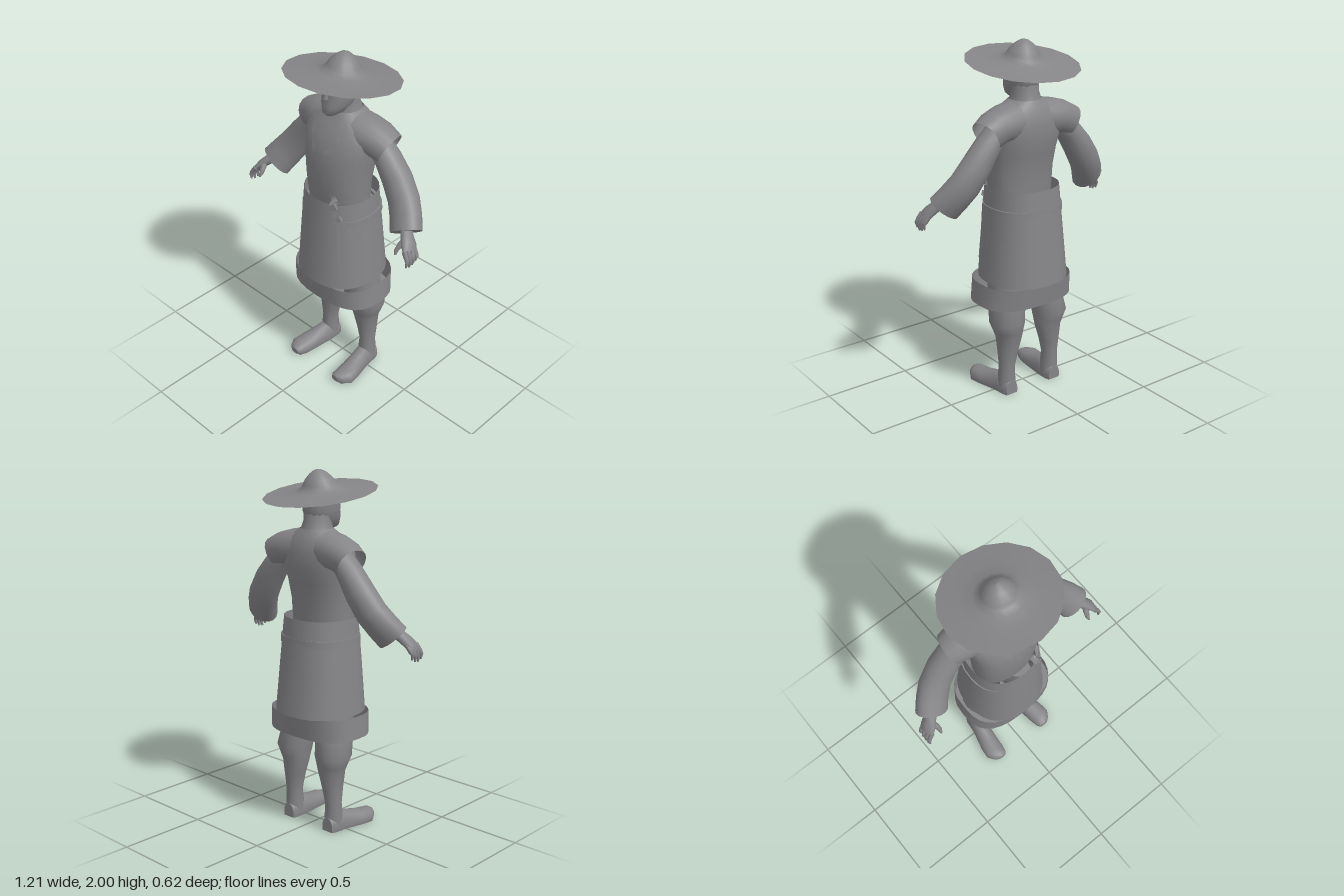
import * as THREE from 'three';
import { toCreasedNormals } from 'three/addons/utils/BufferGeometryUtils.js';

const Y = [0, 1, 0], Z = [0, 0, 1];

// Section rows: [x, y, z, halfWidth, halfDepth]
const TORSO = [
  [0, 1.14, 0.025, 0.18, 0.13], [0, 1.21, 0.027, 0.185, 0.138], [0, 1.3, 0.028, 0.19, 0.144],
  [0, 1.4, 0.018, 0.2, 0.154], [0, 1.48, 0.004, 0.212, 0.159], [0, 1.56, -0.01, 0.222, 0.145],
  [0, 1.62, -0.022, 0.2, 0.123], [0, 1.66, -0.026, 0.14, 0.1], [0, 1.69, -0.026, 0.088, 0.085],
];
const SKIRT = [[0, 0.675, 0.003, 0.24, 0.238], [0, 0.95, 0.006, 0.218, 0.216], [0, 1.21, 0.008, 0.197, 0.193]];
const BODY_POWER = 2.3;

export function createModel() {
  const model = new THREE.Group();
  const grey = new THREE.MeshStandardMaterial({ color: 0x858588, side: THREE.DoubleSide });
  grey.name = 'grey';

  const add = (parent, name, geo) => {
    const mesh = new THREE.Mesh(geo, grey);
    mesh.name = name;
    parent.add(mesh);
    return mesh;
  };

  // Tube of superelliptic rings; rings follow the path unless a fixed direction is given
  function loft(rows, { dir = null, n = 16, p = 2, start = false, end = false, floor = -9 } = {}) {
    const pos = [], idx = [];
    const at = (i) => new THREE.Vector3(...rows[Math.min(Math.max(i, 0), rows.length - 1)].slice(0, 3));
    rows.forEach(([x, y, z, a, b], i) => {
      const t = dir ? new THREE.Vector3(...dir) : at(i + 1).sub(at(i - 1)).normalize();
      const ref = Math.abs(t.z) > 0.9 ? new THREE.Vector3(0, -1, 0) : new THREE.Vector3(0, 0, 1);
      const u = t.clone().cross(ref).normalize(), v = u.clone().cross(t);
      for (let j = 0; j < n; j++) {
        const ang = (j / n) * Math.PI * 2, c = Math.cos(ang), s = Math.sin(ang);
        const q = new THREE.Vector3(x, y, z)
          .addScaledVector(u, a * Math.sign(c) * Math.abs(c) ** (2 / p))
          .addScaledVector(v, b * Math.sign(s) * Math.abs(s) ** (2 / p));
        pos.push(q.x, Math.max(q.y, floor), q.z);
      }
    });
    for (let i = 0; i < rows.length - 1; i++) {
      for (let j = 0; j < n; j++) {
        const a = i * n + j, b = i * n + (j + 1) % n;
        idx.push(a, a + n, b, b, a + n, b + n);
      }
    }
    const cap = (i, flip) => {
      const centre = pos.length / 3;
      pos.push(rows[i][0], Math.max(rows[i][1], floor), rows[i][2]);
      for (let j = 0; j < n; j++) {
        const a = i * n + j, b = i * n + (j + 1) % n;
        idx.push(centre, flip ? a : b, flip ? b : a);
      }
    };
    if (start) cap(0, true);
    if (end) cap(rows.length - 1, false);
    const geo = new THREE.BufferGeometry();
    geo.setAttribute('position', new THREE.Float32BufferAttribute(pos, 3));
    geo.setIndex(idx);
    return toCreasedNormals(geo, 1.0);
  }

  // Depth of the clothing's front surface at x, y
  function frontZ(x, y) {
    const rows = y > 1.21 ? TORSO : SKIRT;
    let i = 0;
    while (i < rows.length - 2 && rows[i + 1][1] < y) i++;
    const k = (y - rows[i][1]) / (rows[i + 1][1] - rows[i][1]);
    const [cz, rx, rz] = [2, 3, 4].map((m) => THREE.MathUtils.lerp(rows[i][m], rows[i + 1][m], k));
    return cz + rz * Math.max(0, 1 - Math.abs(x / rx) ** BODY_POWER) ** (1 / BODY_POWER);
  }

  // Flat band laid over the front of the clothing
  function ribbon(points, width) {
    const curve = new THREE.CatmullRomCurve3(points.map(([x, y]) => new THREE.Vector3(x, y, 0)));
    const pos = [], idx = [], steps = 24;
    for (let i = 0; i <= steps; i++) {
      const c = curve.getPoint(i / steps), t = curve.getTangent(i / steps);
      for (const s of [-0.5, 0.5]) {
        const x = c.x - t.y * width * s, y = c.y + t.x * width * s;
        pos.push(x, y, frontZ(x, y) + 0.005);
      }
      if (i < steps) idx.push(2 * i, 2 * i + 1, 2 * i + 2, 2 * i + 1, 2 * i + 3, 2 * i + 2);
    }
    const geo = new THREE.BufferGeometry();
    geo.setAttribute('position', new THREE.Float32BufferAttribute(pos, 3));
    geo.setIndex(idx);
    geo.computeVertexNormals();
    return geo;
  }

  // Wide hat, tipped back
  const hatProfile = [[0.312, 0], [0.2, 0.007], [0.13, 0.018], [0.1, 0.034], [0.088, 0.054], [0.074, 0.077],
    [0.05, 0.102], [0.025, 0.119], [0, 0.127]].map(([r, y]) => new THREE.Vector2(r, y));
  const hat = add(model, 'hat', new THREE.LatheGeometry(hatProfile, 16));
  hat.position.y = 1.875;
  hat.rotation.x = -0.165;

  // Head, nose and neck
  add(model, 'head', loft([
    [0, 1.685, 0.065, 0.03, 0.055], [0, 1.7, 0.045, 0.05, 0.087], [0, 1.74, 0.022, 0.073, 0.108],
    [0, 1.78, 0.01, 0.082, 0.112], [0, 1.83, 0.008, 0.085, 0.112], [0, 1.88, 0.008, 0.084, 0.108],
    [0, 1.92, 0.004, 0.07, 0.085],
  ], { dir: Y, p: 2.3, start: true, end: true }));
  add(model, 'nose', loft([[0, 1.77, 0.112, 0.014, 0.01], [0, 1.782, 0.116, 0.016, 0.021],
    [0, 1.81, 0.112, 0.012, 0.015], [0, 1.845, 0.108, 0.008, 0.008]], { dir: Y, n: 8, start: true, end: true }));
  add(model, 'neck', loft([[0, 1.62, -0.03, 0.11, 0.1], [0, 1.68, -0.025, 0.086, 0.09],
    [0, 1.73, -0.02, 0.074, 0.078], [0, 1.82, -0.01, 0.075, 0.085]], { dir: Y }));

  // Robe and skirt
  add(model, 'robe', loft(TORSO, { dir: Y, n: 24, p: BODY_POWER, start: true }));
  add(model, 'skirt', loft(SKIRT, { dir: Y, n: 28, p: BODY_POWER }));
  add(model, 'skirtHem', loft([[0.01, 0.55, 0.008, 0.286, 0.206], [0.008, 0.675, 0.005, 0.273, 0.22]],
    { dir: Y, n: 28, p: 2.7, start: true }));
  add(model, 'belt', loft([[0, 1.065, 0.004, 0.19, 0.18], [0, 1.065, 0.004, 0.214, 0.202],
    [0, 1.105, 0.004, 0.212, 0.2], [0, 1.105, 0.004, 0.19, 0.18]], { dir: Y, n: 28, p: 2.4 }));

  // Sash, collar band and hanging tails
  add(model, 'sash', ribbon([[-0.1, 1.61], [-0.07, 1.53], [-0.02, 1.44], [0.04, 1.33], [0.1, 1.215]], 0.03));
  add(model, 'collarBand', ribbon([[0.1, 1.61], [0.075, 1.54], [-0.015, 1.445]], 0.026));
  add(model, 'sashEnd', ribbon([[0.1, 1.208], [0.118, 1.17], [0.138, 1.11]], 0.03));
  add(model, 'longTail', ribbon([[0.135, 1.13], [0.15, 1.02], [0.155, 0.9], [0.175, 0.76]], 0.022));
  add(model, 'shortTail', ribbon([[0.135, 1.13], [0.09, 1.05], [0.062, 0.98]], 0.018));
  add(model, 'sideTail', ribbon([[0.135, 1.12], [0.175, 1.085], [0.19, 1.03], [0.2, 0.99]], 0.02));
  for (const [x, y, size] of [[0.108, 1.2, 0.034], [0.136, 1.13, 0.028]]) {
    const knot = add(model, 'sashKnot', new THREE.BoxGeometry(size, size, 0.02));
    knot.position.set(x, y, frontZ(x, y) + 0.003);
    knot.rotation.set(0, 0.4, 0.5);
  }

  // One side's limbs
  const side = new THREE.Group();
  side.name = 'leftLimbs';
  add(side, 'shoulderCape', loft([[0.06, 1.588, -0.026, 0.1, 0.112], [0.15, 1.574, -0.036, 0.098, 0.115],
    [0.215, 1.562, -0.047, 0.091, 0.106], [0.28, 1.528, -0.058, 0.087, 0.09]], { p: 2.2 }));
  add(side, 'sleeve', loft([[0.2, 1.55, -0.05, 0.06, 0.07], [0.27, 1.475, -0.054, 0.07, 0.076],
    [0.34, 1.38, -0.053, 0.083, 0.08], [0.405, 1.285, -0.037, 0.089, 0.08], [0.45, 1.22, -0.005, 0.094, 0.077],
    [0.49, 1.158, 0.034, 0.098, 0.074]], { end: true }));

  // Hand: palm, curled fingers and thumb
  add(side, 'palm', loft([[0.48, 1.2, 0.03, 0.032, 0.032], [0.52, 1.165, 0.062, 0.028, 0.036],
    [0.552, 1.135, 0.084, 0.025, 0.046], [0.574, 1.108, 0.098, 0.018, 0.046]], { n: 10, start: true, end: true }));
  for (let i = 0; i < 4; i++) {
    const z = 0.06 + i * 0.024, drop = [0.016, 0.004, 0, 0.01][i];
    add(side, 'finger', loft([[0.565, 1.12, z, 0.014, 0.013], [0.588, 1.088, z + 0.006, 0.012, 0.013],
      [0.597, 1.058 + drop, z + 0.01, 0.009, 0.011], [0.591, 1.03 + drop, z + 0.012, 0.005, 0.006]],
    { n: 8, start: true, end: true }));
  }
  add(side, 'thumb', loft([[0.535, 1.155, 0.085, 0.02, 0.02], [0.52, 1.13, 0.115, 0.016, 0.016],
    [0.514, 1.105, 0.135, 0.012, 0.012], [0.518, 1.085, 0.148, 0.006, 0.006]], { n: 8, start: true, end: true }));

  // Leg with gathered trousers, and shoe
  add(side, 'leg', loft([
    [0.153, 0.03, -0.05, 0.05, 0.05], [0.153, 0.09, -0.05, 0.049, 0.053], [0.153, 0.16, -0.053, 0.046, 0.047],
    [0.147, 0.25, -0.054, 0.058, 0.06], [0.138, 0.35, -0.053, 0.077, 0.076], [0.142, 0.385, -0.052, 0.085, 0.088],
    [0.148, 0.44, -0.05, 0.1, 0.106], [0.13, 0.55, -0.024, 0.1, 0.114], [0.122, 0.8, -0.01, 0.1, 0.12],
  ], { dir: Y }));
  add(side, 'shoe', loft([
    [0.153, 0.02, -0.103, 0.038, 0.06], [0.153, 0.02, -0.08, 0.048, 0.075], [0.156, 0.018, -0.01, 0.052, 0.094],
    [0.166, 0.015, 0.05, 0.056, 0.078], [0.178, 0.014, 0.12, 0.062, 0.062], [0.185, 0.018, 0.18, 0.062, 0.05],
    [0.176, 0.026, 0.222, 0.045, 0.034], [0.17, 0.032, 0.24, 0.026, 0.018],
  ], { dir: Z, p: 2.2, start: true, end: true, floor: 0 }));

  const other = side.clone();
  other.name = 'rightLimbs';
  other.scale.x = -1;
  model.add(side, other);
  return model;
}
